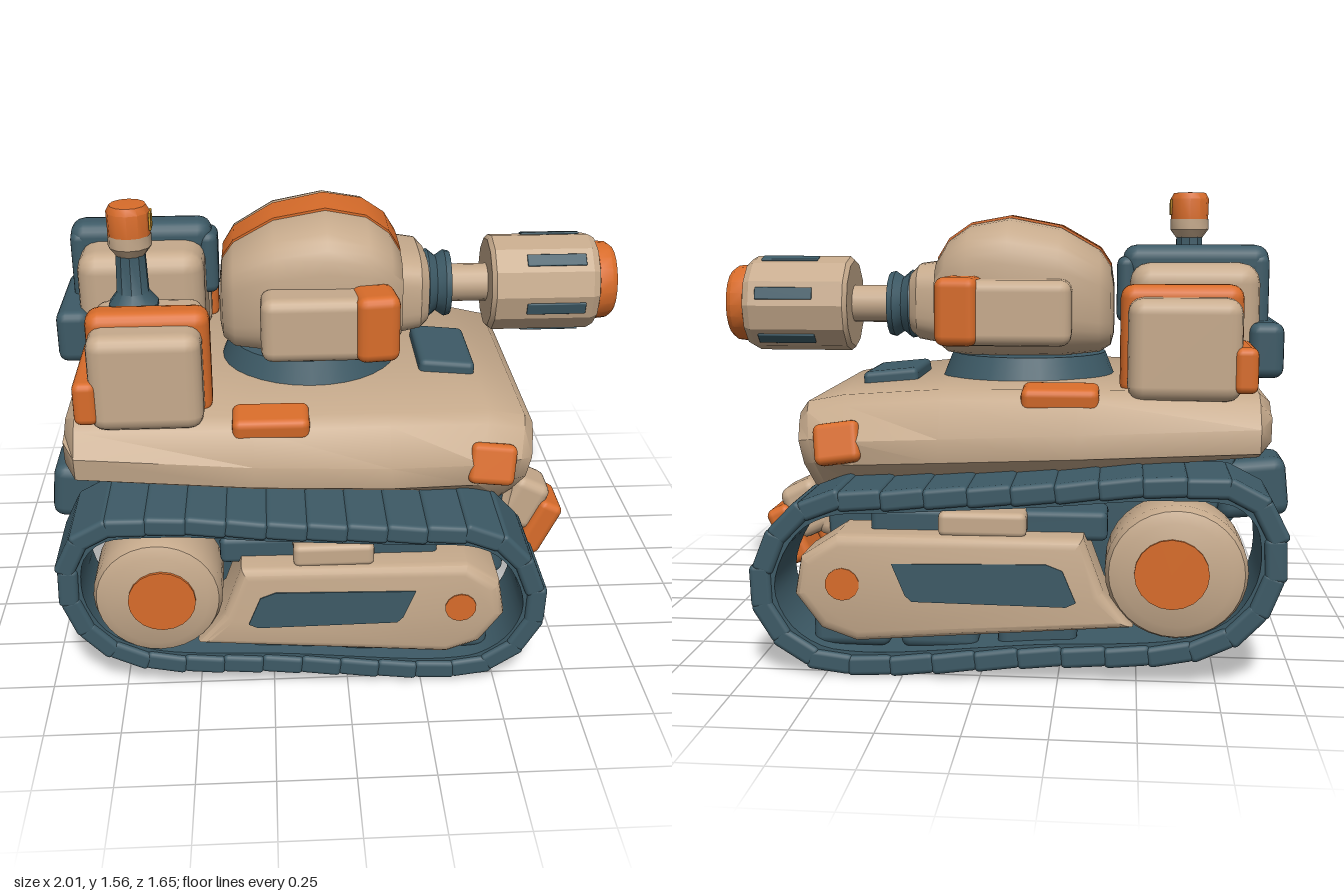
import * as THREE from 'three';
import { toCreasedNormals } from 'three/addons/utils/BufferGeometryUtils.js';
import { RoundedBoxGeometry } from 'three/addons/geometries/RoundedBoxGeometry.js';

const mat = (name, color) => new THREE.MeshStandardMaterial({ name, color, side: THREE.DoubleSide });
const TAN = mat('sandArmour', 0xc6aa8c);
const BLUE = mat('slateBlue', 0x3d5a66);
const ORANGE = mat('orangeTrim', 0xd86c2a);
const YELLOW = mat('amberGlow', 0xdca02e);

function add(parent, name, geo, material, pos = [0, 0, 0], rot = [0, 0, 0]) {
  const m = new THREE.Mesh(geo, material);
  m.name = name;
  m.position.set(...pos);
  m.rotation.set(...rot);
  parent.add(m);
  return m;
}

// Rounded box given by its extents [min, max] along each axis
function box(parent, name, material, x, y, z, r = 0.03, rot) {
  const size = [x, y, z].map(([a, b]) => Math.abs(b - a));
  const geo = new RoundedBoxGeometry(...size, 2, Math.min(r, Math.min(...size) * 0.45));
  return add(parent, name, geo, material, [x, y, z].map(([a, b]) => (a + b) / 2), rot);
}

// Skin through rings of [x, y, z] points ordered along +x, with flat end caps
function loft(rings, crease) {
  const n = rings[0].length, pos = rings.flat(2), idx = [];
  for (let i = 0; i < rings.length - 1; i++) for (let j = 0; j < n; j++) {
    const a = i * n + j, b = i * n + (j + 1) % n;
    idx.push(a, a + n, b, b, a + n, b + n);
  }
  [0, rings.length - 1].forEach((r, end) => {
    for (let j = 1; j < n - 1; j++) {
      const o = r * n;
      idx.push(o, end ? o + j + 1 : o + j, end ? o + j : o + j + 1);
    }
  });
  const g = new THREE.BufferGeometry();
  g.setAttribute('position', new THREE.Float32BufferAttribute(pos, 3));
  g.setIndex(idx);
  return toCreasedNormals(g, crease);
}

// Superellipse ring between heights yb and yt with half width w
const POW = 3.4;
function roundRing([x, yb, yt, w]) {
  const f = (v) => Math.sign(v) * Math.abs(v) ** (2 / POW);
  return Array.from({ length: 36 }, (_, k) => {
    const t = (k / 36) * Math.PI * 2;
    return [x, (yb + yt) / 2 + f(Math.sin(t)) * (yt - yb) / 2, f(Math.cos(t)) * w];
  });
}

const lathe = (pts, seg, crease = 0.6) =>
  toCreasedNormals(new THREE.LatheGeometry(pts.map((p) => new THREE.Vector2(...p)), seg), crease);

function plate(pts, depth, bevel) {
  const g = new THREE.ExtrudeGeometry(new THREE.Shape(pts.map((p) => new THREE.Vector2(...p))), {
    depth: depth - 2 * bevel, bevelEnabled: bevel > 0, bevelSize: bevel, bevelThickness: bevel,
    bevelOffset: -bevel, bevelSegments: 3,
  });
  g.translate(0, 0, -(depth - 2 * bevel) / 2);
  return toCreasedNormals(g, 0.6);
}

// One track unit with belt, wheel and side pod
function trackUnit(s) {
  const g = new THREE.Group();
  g.name = s > 0 ? 'nearTrack' : 'farTrack';
  const zc = 0.645 * s;
  const path = new THREE.CatmullRomCurve3([
    [-0.945, 0.42], [-0.92, 0.56], [-0.82, 0.655], [-0.6, 0.675], [-0.2, 0.645], [0.2, 0.62], [0.44, 0.6],
    [0.56, 0.53], [0.64, 0.4], [0.66, 0.27], [0.6, 0.13], [0.48, 0.04], [0.33, 0.015], [-0.2, 0.055],
    [-0.68, 0.095], [-0.84, 0.18], [-0.92, 0.3],
  ].map(([x, y]) => new THREE.Vector3(x, y, 0)), true, 'centripetal');
  const inset = (u, d) => {
    const p = path.getPointAt(u % 1), t = path.getTangentAt(u % 1);
    return new THREE.Vector2(p.x + t.y * d, p.y - t.x * d);
  };
  const ring = (d) => Array.from({ length: 80 }, (_, k) => inset(k / 80, d));
  const belt = new THREE.Shape(ring(0.02));
  belt.holes.push(new THREE.Path(ring(0.075)));
  const beltGeo = new THREE.ExtrudeGeometry(belt, { depth: 0.28, bevelEnabled: false });
  beltGeo.translate(0, 0, -0.14);
  add(g, 'belt', toCreasedNormals(beltGeo, 0.5), BLUE, [0, 0, zc]);
  const count = 30;
  const shoe = new RoundedBoxGeometry(path.getLength() / count * 1.08, 0.066, 0.31, 2, 0.016);
  for (let k = 0; k < count; k++) {
    const p = inset(k / count, 0.033), t = path.getTangentAt(k / count);
    add(g, 'trackShoe', shoe, BLUE, [p.x, p.y, zc], [0, 0, Math.atan2(t.y, t.x) - 0.05]);
  }
  // Rear drive wheel
  const wheel = lathe([[0, -0.13], [0.17, -0.13], [0.2, -0.115], [0.212, -0.08], [0.212, 0.08], [0.2, 0.11],
    [0.165, 0.125], [0, 0.13]], 32);
  add(g, 'driveWheel', wheel, TAN, [-0.625, 0.37, 0.68 * s], [s * Math.PI / 2, 0, 0]);
  add(g, 'wheelHub', new THREE.CylinderGeometry(0.11, 0.11, 0.009, 20), ORANGE,
    [-0.61, 0.375, 0.812 * s], [Math.PI / 2, 0, 0]);
  // Side pod with inset panel and front bolt
  add(g, 'sidePod', plate([[-0.5, 0.2], [0.33, 0.13], [0.44, 0.17], [0.52, 0.28], [0.5, 0.4], [0.39, 0.475],
    [-0.35, 0.48], [-0.41, 0.31]], 0.26, 0.035), TAN, [0, 0, 0.69 * s]);
  add(g, 'podPanel', plate([[-0.33, 0.28], [-0.3, 0.265], [0.16, 0.27], [0.18, 0.29], [0.22, 0.39],
    [-0.24, 0.4], [-0.29, 0.38]], 0.008, 0), BLUE, [0, 0, 0.82 * s]);
  add(g, 'podBolt', new THREE.CylinderGeometry(0.052, 0.052, 0.008, 14), ORANGE,
    [0.37, 0.32, 0.82 * s], [Math.PI / 2, 0, 0]);
  box(g, 'podCap', TAN, [-0.18, 0.085], [0.47, 0.55], [0.58 * s, 0.79 * s], 0.02);
  box(g, 'upperStrut', BLUE, [-0.42, 0.3], [0.45, 0.545], [0.56 * s, 0.72 * s], 0.02);
  for (const x of [-0.33, -0.03, 0.24]) {
    box(g, 'lowerRoller', BLUE, [x, x + 0.24], [0.09, 0.2], [0.54 * s, 0.74 * s], 0.03);
  }
  if (s < 0) {
    g.scale.set(1.059, 1.01, 1);
    g.position.set(0.041, -0.013, 0);
  }
  return g;
}

export function createModel() {
  const model = new THREE.Group();
  model.name = 'toyTank';
  model.add(trackUnit(1), trackUnit(-1));

  // Upper hull: x, top y, top half width, widest half width, widest y, bottom y, bottom half width
  const hull = [
    [-0.93, 0.86, 0.44, 0.53, 0.79, 0.72, 0.46], [-0.89, 0.895, 0.5, 0.6, 0.76, 0.69, 0.53],
    [-0.3, 0.905, 0.54, 0.65, 0.74, 0.64, 0.56], [0.15, 0.9, 0.53, 0.645, 0.72, 0.61, 0.54],
    [0.48, 0.87, 0.47, 0.6, 0.7, 0.55, 0.46], [0.61, 0.845, 0.46, 0.565, 0.7, 0.51, 0.43],
    [0.655, 0.8, 0.43, 0.53, 0.69, 0.53, 0.41],
  ].map(([x, yt, zt, zw, yw, yb, zb]) => {
    const half = [[yb, zb], [yw - 0.05, zw - 0.01], [yw + 0.03, zw], [yt - 0.03, zt + 0.045], [yt, zt]];
    const full = [...half, ...half.slice().reverse().map(([y, z]) => [y, -z])];
    return full.map(([y, z]) => [x + (x > 0.4 ? (y - 0.8) * 0.2 : 0), y, z]);
  });
  add(model, 'upperHull', loft(hull, 0.7), TAN);

  // Belly between the tracks
  add(model, 'belly', plate([[-0.84, 0.7], [-0.74, 0.4], [-0.62, 0.2], [-0.5, 0.17], [0.45, 0.17], [0.56, 0.28],
    [0.58, 0.62]], 0.84, 0.02), BLUE);
  for (const [a, b, y] of [[0.17, 0.36, 0.14], [-0.17, 0.13, 0.155], [-0.4, -0.21, 0.14]]) {
    box(model, 'frontSkid', BLUE, [0.36, 0.6], [y, 0.3], [a, b]);
    box(model, 'rearSkid', BLUE, [-0.66, -0.42], [y, 0.3], [a, b]);
  }

  // Nose and bumpers
  box(model, 'nose', TAN, [0.38, 0.615], [0.36, 0.6], [-0.41, 0.41], 0.04);
  box(model, 'nosePlate', TAN, [0.57, 0.66], [0.41, 0.56], [-0.14, 0.18], 0.025, [0, 0, -0.15]);
  box(model, 'centreBumper', ORANGE, [0.59, 0.67], [0.25, 0.43], [-0.2, 0.2], 0.025, [0, 0, -0.35]);
  for (const s of [1, -1]) {
    box(model, 'bumperMount', TAN, [0.58, 0.72], [0.36, 0.55], [0.25 * s, 0.41 * s], 0.035, [0, 0, -0.45]);
    box(model, 'cornerBumper', ORANGE, [0.665, 0.755], [0.26, 0.47], [0.23 * s, 0.425 * s], 0.025, [0, 0, -0.45]);
    box(model, 'cornerLamp', ORANGE, [0.415, 0.575], [0.65, 0.79], [0.535 * s, 0.605 * s], 0.025, [-0.3 * s, 0.12 * s, -0.12]);
    box(model, 'deckPatch', ORANGE, [-0.37, -0.115], [0.84, 0.918], [0.465 * s, 0.6 * s], 0.025, [0.12 * s, 0, 0]);
  }
  // Front window
  box(model, 'windowFrame', ORANGE, [0.629, 0.638], [0.6, 0.75], [-0.31, 0.35], 0.004, [0, 0, -0.197]);
  box(model, 'windowGlow', YELLOW, [0.634, 0.643], [0.625, 0.72], [-0.25, 0.28], 0.004, [0, 0, -0.197]);
  box(model, 'deckHatch', BLUE, [0.29, 0.49], [0.86, 0.92], [-0.165, 0.18], 0.02, [0, 0, -0.1]);

  // Turret
  const turret = [[-0.41, 1.05, 1.22, 0.15], [-0.4, 1.01, 1.29, 0.21], [-0.36, 0.985, 1.35, 0.26],
    [-0.22, 0.97, 1.43, 0.3], [-0.04, 0.965, 1.465, 0.31], [0.1, 0.97, 1.44, 0.305], [0.18, 0.98, 1.385, 0.275],
    [0.22, 1.01, 1.32, 0.235]];
  add(model, 'turretRing', new THREE.CylinderGeometry(0.28, 0.32, 0.1, 32), BLUE, [-0.1, 0.93, 0]);
  add(model, 'turret', loft(turret.map(roundRing), 0.7), TAN);
  add(model, 'mantle', loft([[0.15, 1.0, 1.32, 0.22], [0.29, 1.025, 1.3, 0.195], [0.32, 1.05, 1.27, 0.165]]
    .map(roundRing), 0.6), TAN);
  // Thin painted stripe that follows the turret roof
  const stripe = turret.slice(1).map(([x, yb, yt, w], i) => {
    const half = 0.075 + 0.007 * i, h = (yt - yb) / 2;
    const line = [1, 0.5, 0, -0.5, -1].map((k) =>
      [yb + h + h * (1 - (Math.abs(k) * half / w) ** POW) ** (1 / POW), k * half]);
    return [...line.map(([y, z]) => [x, y + 0.008, z]), ...line.reverse().map(([y, z]) => [x, y - 0.001, z])];
  });
  add(model, 'roofStripe', loft(stripe, 0.7), ORANGE);
  for (const s of [1, -1]) {
    box(model, 'turretPod', TAN, [-0.27, 0.15], [1.03, 1.255], [0.26 * s, 0.42 * s], 0.04);
    box(model, 'podTip', ORANGE, [0.04, 0.19], [1.03, 1.265], [0.27 * s, 0.435 * s], 0.035, [0, 0.12 * s, 0]);
  }

  // Gun along +x
  const gun = new THREE.Group();
  gun.name = 'gun';
  gun.position.set(0, 1.15, -0.015);
  gun.rotation.z = -Math.PI / 2;
  model.add(gun);
  add(gun, 'gunCollar', lathe([[0.12, 0.3], [0.125, 0.33], [0.1, 0.36], [0.12, 0.39], [0.115, 0.41], [0, 0.41]], 16), BLUE);
  add(gun, 'gunNeck', new THREE.CylinderGeometry(0.068, 0.068, 0.16, 16), TAN, [0, 0.48, 0]);
  add(gun, 'barrel', lathe([[0, 0.545], [0.16, 0.545], [0.174, 0.56], [0.174, 0.905], [0.16, 0.93], [0.1, 0.93]], 12, 0.4), TAN);
  add(gun, 'muzzle', lathe([[0.13, 0.92], [0.142, 0.935], [0.138, 0.98], [0.122, 1.0], [0.095, 1.0], [0.078, 0.98],
    [0.075, 0.93]], 20), ORANGE);
  add(gun, 'muzzleGlow', new THREE.CylinderGeometry(0.08, 0.08, 0.008, 20), YELLOW, [0, 0.95, 0]);
  for (let k = 0; k < 6; k++) {
    const a = (k + 0.25) * Math.PI / 3;
    add(gun, 'barrelSlot', new RoundedBoxGeometry(0.045, 0.21, 0.009, 2, 0.004), BLUE,
      [Math.sin(a) * 0.172, 0.775, Math.cos(a) * 0.172], [0, a, 0]);
  }

  // Rear cargo
  for (const [s, inner] of [[1, 0.2], [-1, 0.28]]) {
    box(model, 'sidePack', TAN, [-0.83, -0.46], [0.87, 1.205], [inner * s, 0.585 * s], 0.05);
    box(model, 'packStrap', ORANGE, [-0.84, -0.435], [0.87, 1.245], [0.36 * s, 0.48 * s], 0.045);
    box(model, 'packPocket', ORANGE, [-0.88, -0.8], [0.9, 1.05], [inner * s, 0.585 * s], 0.025);
  }
  box(model, 'centrePack', TAN, [-0.91, -0.465], [0.87, 1.31], [-0.3, 0.1], 0.07);
  box(model, 'centreStrap', BLUE, [-0.945, -0.44], [1.25, 1.37], [-0.21, -0.07], 0.05);
  box(model, 'strapBack', BLUE, [-0.945, -0.87], [0.95, 1.34], [-0.21, -0.07], 0.03);
  box(model, 'strapFront', BLUE, [-0.49, -0.42], [1.1, 1.33], [-0.21, -0.07], 0.03);
  box(model, 'rearRoll', BLUE, [-0.99, -0.87], [0.92, 1.11], [-0.32, 0.12], 0.035);

  // Beacon on the near pack
  add(model, 'beaconPost', lathe([[0.085, 0], [0.085, 0.03], [0.055, 0.07], [0.05, 0.21]], 10), BLUE, [-0.69, 1.19, 0.295]);
  add(model, 'beaconCup', lathe([[0, 0], [0.05, 0], [0.072, 0.03], [0.072, 0.07]], 12), TAN, [-0.69, 1.39, 0.295]);
  add(model, 'beaconLamp', lathe([[0.07, 0], [0.072, 0.09], [0.06, 0.112], [0, 0.115]], 12), ORANGE, [-0.69, 1.446, 0.295]);
  box(model, 'beaconGlow', YELLOW, [-0.623, -0.615], [1.475, 1.535], [0.265, 0.325], 0.003);

  // Tail: exhaust boxes and a rear plate
  for (const s of [1, -1]) {
    box(model, 'exhaustBox', BLUE, [-1.0, -0.76], [0.46, 0.66], [0.2 * s, 0.43 * s], 0.04, [0, 0, -0.1]);
    box(model, 'exhaustGlow', YELLOW, [-1.003, -0.995], [0.53, 0.61], [0.29 * s, 0.36 * s], 0.003, [0, 0, -0.1]);
  }
  box(model, 'tailPlate', TAN, [-0.92, -0.74], [0.46, 0.62], [-0.16, 0.16], 0.04);
  return model;
}
